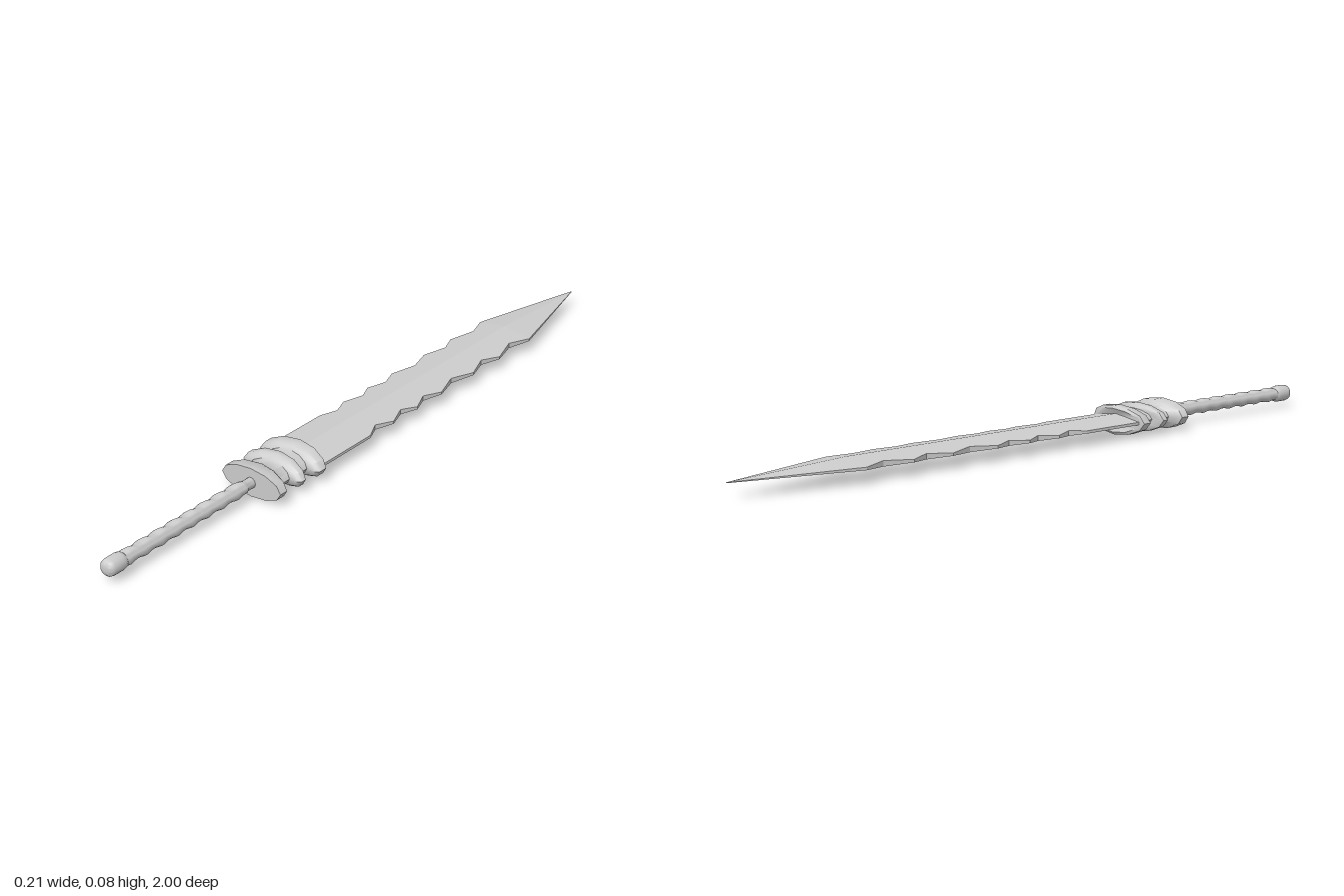
import * as THREE from 'three';
import { toCreasedNormals } from 'three/addons/utils/BufferGeometryUtils.js';

const CY = 0.0445; // height of the sword's axis

// Skin a list of equal-length rings (ordered towards +z) and cap both ends
function loft(rings) {
  const n = rings[0].length, pos = [], idx = [];
  for (const ring of rings) for (const p of ring) pos.push(...p);
  for (let i = 0; i < rings.length - 1; i++) {
    for (let j = 0; j < n; j++) {
      const a = i * n + j, b = i * n + (j + 1) % n;
      idx.push(a, b, b + n, a, b + n, a + n);
    }
  }
  const last = (rings.length - 1) * n;
  for (let j = 1; j < n - 1; j++) {
    idx.push(0, j + 1, j, last, last + j, last + j + 1);
  }
  const g = new THREE.BufferGeometry();
  g.setAttribute('position', new THREE.Float32BufferAttribute(pos, 3));
  g.setIndex(idx);
  g.computeVertexNormals();
  return g;
}

// Ring of n points; radius(angle) returns [rx, ry], bend pushes the sides along z
function ring(n, z, radius, bend = 0) {
  return Array.from({ length: n }, (_, j) => {
    const a = (j / n) * Math.PI * 2, [rx, ry] = radius(a);
    return [rx * Math.cos(a), CY + ry * Math.sin(a), z + bend * Math.cos(a) ** 2];
  });
}

export function createModel() {
  const model = new THREE.Group();
  const add = (name, geometry, flatShading = false) => {
    const mesh = new THREE.Mesh(geometry,
      new THREE.MeshStandardMaterial({ color: 0xcccccc, flatShading }));
    mesh.name = name;
    model.add(mesh);
  };

  // Blade: notched outline as [z, half width], ridge along the middle, thin edges
  const outline = [
    [-1, 0.0005], [-0.645, 0.088], [-0.577, 0.064], [-0.497, 0.088], [-0.44, 0.064],
    [-0.37, 0.088], [-0.296, 0.064], [-0.22, 0.088], [-0.164, 0.066], [-0.11, 0.088],
    [-0.063, 0.066], [-0.005, 0.088], [0.048, 0.066], [0.095, 0.088], [0.32, 0.088],
  ];
  add('blade', loft(outline.map(([z, w], i) => {
    const ridge = i === 0 ? 0.001 : 0.018, edge = ridge - 0.16 * w;
    return [[w, CY - edge, z], [w, CY + edge, z], [0, CY + ridge, z],
      [-w, CY + edge, z], [-w, CY - edge, z], [0, CY - ridge, z]];
  })), true);

  // Guard: two bowed collars and a flared base, as [z, half width, half height, bend]
  const guard = [
    [0.274, 0.09, 0.034, 0.018], [0.28, 0.103, 0.0415, 0.018],
    [0.305, 0.103, 0.0415, 0.018], [0.313, 0.092, 0.036, 0.018],
    [0.32, 0.066, 0.028, 0.012], [0.348, 0.066, 0.028, 0.016],
    [0.352, 0.09, 0.035, 0.018], [0.358, 0.1, 0.0405, 0.018],
    [0.375, 0.1, 0.0405, 0.018], [0.382, 0.09, 0.035, 0.018],
    [0.389, 0.066, 0.028, 0.012], [0.422, 0.066, 0.028, 0.008],
    [0.432, 0.086, 0.037, 0.01], [0.44, 0.1, 0.0415, 0.01],
    [0.475, 0.1, 0.0415, 0],
  ];
  add('guard', toCreasedNormals(loft(guard.map(
    ([z, rx, ry, bend]) => ring(12, z, () => [rx, ry], bend))), 0.9));

  // Grip: slim twisted rod, narrowing where it enters the guard
  const grip = [ring(16, 0.46, () => [0.015, 0.015]), ring(16, 0.5, () => [0.015, 0.015])];
  for (let i = 0; i <= 60; i++) {
    const z = 0.508 + (i / 60) * 0.432;
    grip.push(ring(16, z, (a) => {
      const r = 0.0195 + 0.002 * Math.cos(2 * a - (z - 0.5) * Math.PI * 2 / 0.055);
      return [r, r];
    }));
  }
  add('grip', toCreasedNormals(loft(grip), 0.9));

  // Pommel: small rounded knob closing the grip
  const knob = [[0.936, 0.017], [0.942, 0.022], [0.952, 0.024], [0.982, 0.024],
    [0.992, 0.022], [0.998, 0.016], [1, 0.006]];
  add('pommel', toCreasedNormals(loft(knob.map(([z, r]) => ring(20, z, () => [r, r]))), 0.9));

  return model;
}
